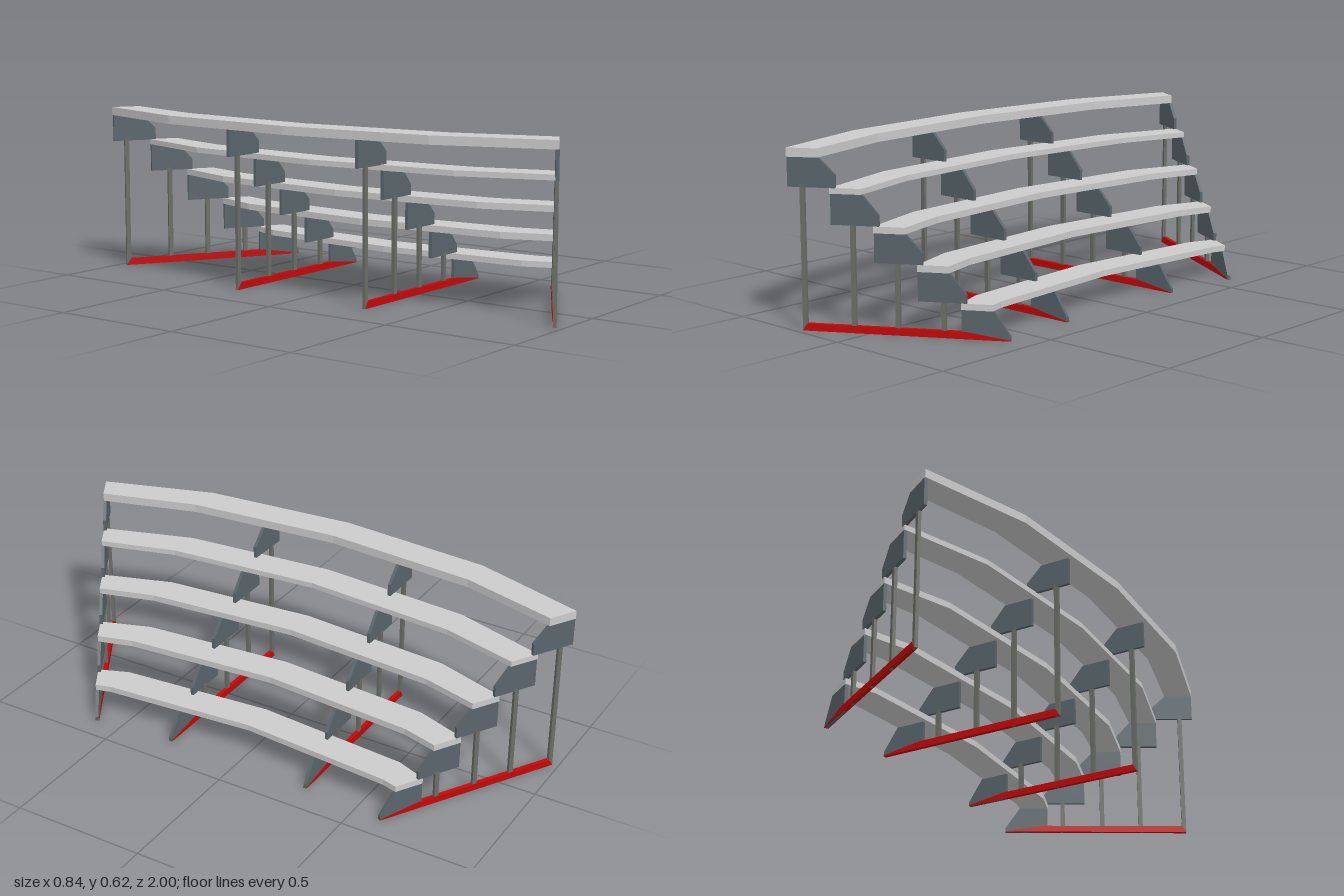
import * as THREE from 'three';

const material = (color) => new THREE.MeshStandardMaterial({ color, flatShading: true });

// Extrude a closed outline of [x, y] points
function prism(points, depth) {
  const shape = new THREE.Shape(points.map(([x, y]) => new THREE.Vector2(x, y)));
  return new THREE.ExtrudeGeometry(shape, { depth, bevelEnabled: false });
}

export function createModel() {
  const model = new THREE.Group();
  model.name = 'curvedBleachers';
  const seatMat = material(0xcccccc);
  const bracketMat = material(0x59656b);
  const postMat = material(0x6a6e66);
  const railMat = material(0xc40808);

  // Rows from the highest (back) to the lowest (front)
  const rows = [
    { top: 0.625, under: 0.594, foot: 0.493, nose: 0.538, post: 0.051 },
    { top: 0.494, under: 0.474, foot: 0.369, nose: 0.408, post: 0.075 },
    { top: 0.369, under: 0.346, foot: 0.245, nose: 0.286, post: 0.079 },
    { top: 0.245, under: 0.221, foot: 0.121, nose: 0.151, post: 0.088 },
    { top: 0.121, under: 0.099, foot: 0, nose: 0.016 },
  ];
  const rowStep = 0.149;
  const slope = 0.6;

  // Faceted curved benches
  rows.forEach(({ top, under }, i) => {
    const mid = 0.15 * i;
    const end = 0.128 * i;
    const endZ = 1 - slope * end;
    const half = [[-0.42 + mid, 0], [-0.372 + mid, 0.58], [-0.24 + end, endZ],
      [-0.146 + end, endZ - slope * 0.094], [-0.25 + mid, 0.58], [-0.297 + mid, 0]];
    const mirrored = half.slice(1, 5).reverse().map(([x, z]) => [x, -z]);
    const geometry = prism([...half, ...mirrored], top - under);
    geometry.rotateX(-Math.PI / 2);
    const bench = new THREE.Mesh(geometry, seatMat);
    bench.name = `bench${i + 1}`;
    bench.position.y = under;
    model.add(bench);
  });

  // One stepped support frame, running forward along its local x
  function supportFrame(name) {
    const frame = new THREE.Group();
    frame.name = name;
    rows.forEach(({ under, foot, nose, post }, i) => {
      const s = rowStep * i;
      const bracket = new THREE.Mesh(prism([[s, foot], [s + 0.167, foot], [s + 0.167, nose],
        [s + 0.11, under], [s, under]], 0.012), bracketMat);
      bracket.name = `bracket${i + 1}`;
      bracket.position.z = -0.006;
      frame.add(bracket);
      if (post === undefined) return;
      const leg = new THREE.Mesh(new THREE.BoxGeometry(0.017, foot + 0.01, 0.012), postMat);
      leg.name = `post${i + 1}`;
      leg.position.set(s + post, (foot + 0.01) / 2, 0);
      frame.add(leg);
    });
    // Ground rail with mitred rear and tapered front
    const rail = new THREE.Mesh(prism([[0.043, 0], [0.763, 0], [0.763, 0.003],
      [0.61, 0.025], [0.058, 0.025]], 0.015), railMat);
    rail.name = 'groundRail';
    rail.position.z = -0.0075;
    frame.add(rail);
    return frame;
  }

  // Two straight inner frames and two angled end frames
  for (const [side, sign] of [['left', -1], ['right', 1]]) {
    const inner = supportFrame(`${side}InnerFrame`);
    inner.position.set(-0.377, 0, 0.288 * sign);
    const outer = supportFrame(`${side}EndFrame`);
    outer.position.set(-0.24, 0, 0.994 * sign);
    outer.rotation.y = Math.atan(slope) * sign;
    model.add(inner, outer);
  }
  return model;
}
